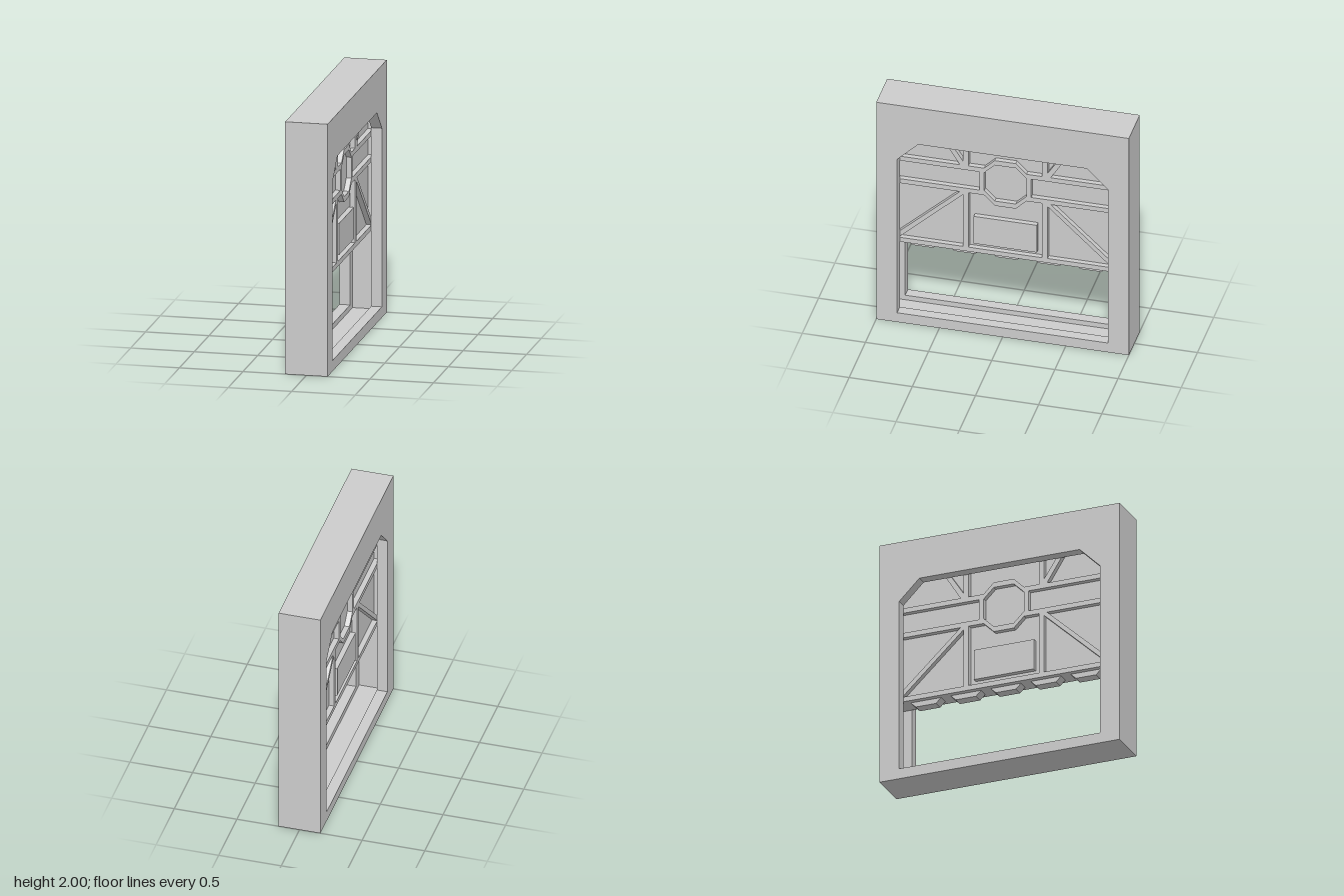
import * as THREE from 'three';

const material = new THREE.MeshStandardMaterial({ color: 0xcccccc, flatShading: true });

// Extrudes a counter-clockwise outline of [z, y] points along x, centred on the given x
function slab(name, outline, holes, thickness, x = 0) {
  const toPoints = (list) => list.map(([z, y]) => new THREE.Vector2(-z, y));
  // Mapping z to -z flips the winding, so the outline is reversed to keep all walls facing outward
  const shape = new THREE.Shape(toPoints(outline).reverse());
  holes.forEach((h) => shape.holes.push(new THREE.Path(toPoints(h))));
  const geometry = new THREE.ExtrudeGeometry(shape, { depth: thickness, bevelEnabled: false });
  geometry.translate(0, 0, -thickness / 2);
  geometry.rotateY(Math.PI / 2);
  geometry.translate(x, 0, 0);
  const mesh = new THREE.Mesh(geometry, material);
  mesh.name = name;
  return mesh;
}

const rect = (z0, z1, y0, y1) => [[z0, y0], [z1, y0], [z1, y1], [z0, y1]];
const mirror = (list) => list.map(([z, y]) => [-z, y]);

export function createModel() {
  const model = new THREE.Group();
  model.name = 'slidingDoorway';

  // Frame: two outer faces with a chamfered opening, and a core whose wider opening forms the groove
  const frame = new THREE.Group();
  frame.name = 'frame';
  const outer = rect(-1, 1, 0, 2);
  const opening = [
    [-0.835, 0.085], [0.835, 0.085], [0.835, 1.5],
    [0.667, 1.666], [-0.667, 1.666], [-0.835, 1.5],
  ];
  for (const side of [1, -1]) {
    const name = side > 0 ? 'frameFaceLeft' : 'frameFaceRight';
    frame.add(slab(name, outer, [opening], 0.084, side * 0.125));
  }
  frame.add(slab('frameCore', outer, [rect(-0.918, 0.918, 0.043, 1.75)], 0.166));
  model.add(frame);

  // Door, partly raised, running in the groove
  const door = new THREE.Group();
  door.name = 'door';
  door.add(slab('doorPanel', rect(-0.917, 0.917, 0.7, 1.74), [], 0.084));

  // Raised ribs: one plate with the recessed fields cut out
  const sideFields = [
    rect(0.205, 0.9, 1.268, 1.436),
    [[0.335, 0.727], [0.846, 0.727], [0.335, 1.205]],
    [[0.36, 1.228], [0.9, 0.727], [0.9, 1.228]],
    [[0.36, 1.476], [0.9, 1.476], [0.9, 1.7], [0.5, 1.7]],
    [[0.335, 1.513], [0.456, 1.7], [0.335, 1.7]],
  ];
  const centreFields = [
    [[-0.292, 1.476], [-0.168, 1.476], [-0.083, 1.56], [0.083, 1.56],
      [0.168, 1.476], [0.292, 1.476], [0.292, 1.7], [-0.292, 1.7]],
    [[-0.292, 0.727], [0.292, 0.727], [0.292, 1.228], [0.168, 1.228],
      [0.083, 1.144], [-0.083, 1.144], [-0.168, 1.228], [-0.292, 1.228]],
    [[-0.083, 1.187], [0.083, 1.187], [0.167, 1.27], [0.167, 1.435],
      [0.083, 1.518], [-0.083, 1.518], [-0.167, 1.435], [-0.167, 1.27]],
  ];
  const fields = [...sideFields, ...sideFields.map(mirror), ...centreFields];
  door.add(slab('doorRibs', rect(-0.917, 0.917, 0.687, 1.74), fields, 0.166));
  door.add(slab('raisedPlate', rect(-0.25, 0.25, 0.768, 1.018), [], 0.166));

  // Teeth along the lower edge
  for (let i = -2; i <= 2; i++) {
    const z = i / 3;
    door.add(slab('doorTooth', [
      [z - 0.14, 0.7], [z - 0.127, 0.687], [z - 0.084, 0.645],
      [z + 0.084, 0.645], [z + 0.127, 0.687], [z + 0.14, 0.7],
    ], [], 0.083));
  }
  model.add(door);

  return model;
}
